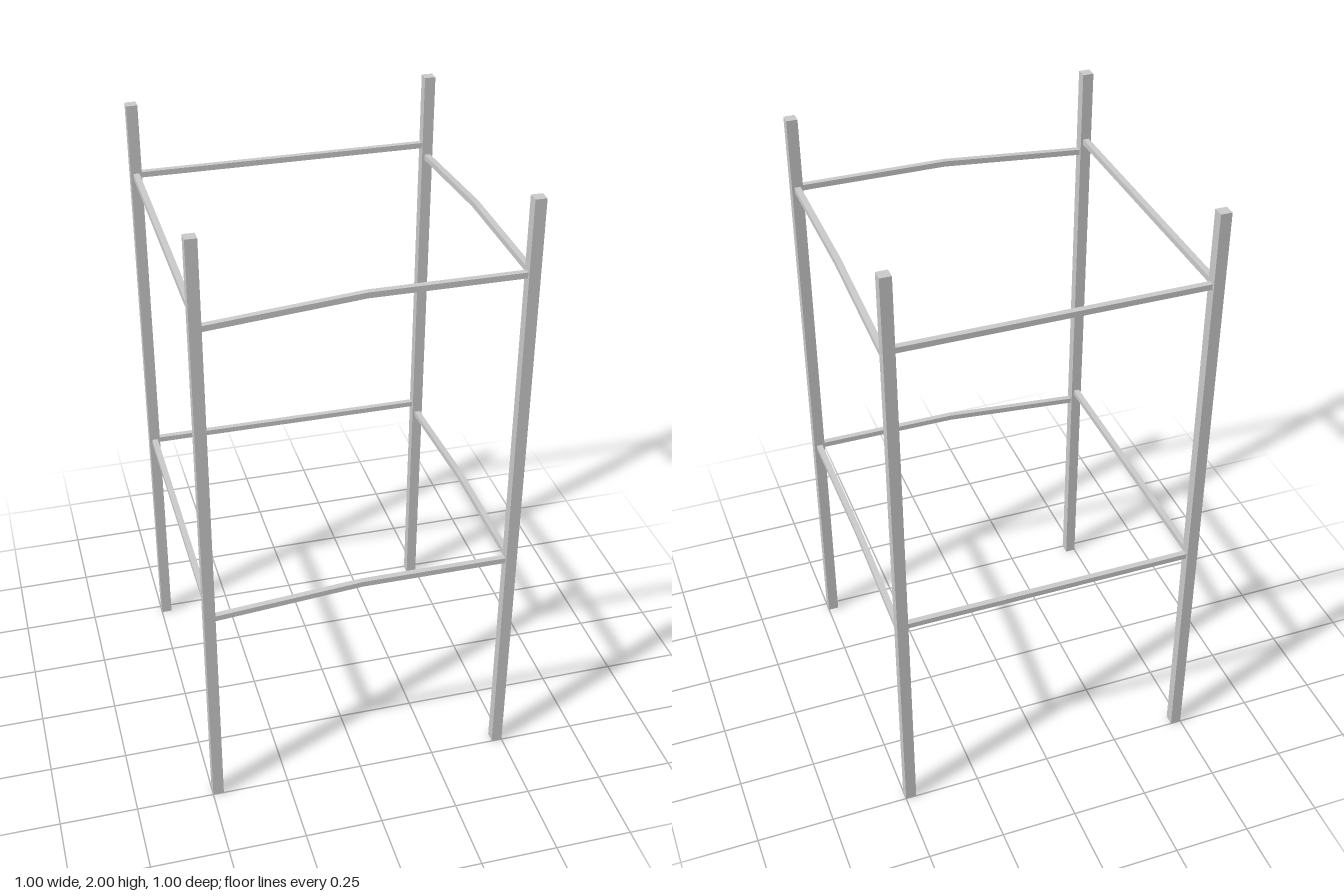
import * as THREE from 'three';

const POST = 0.035, RAIL_W = 0.019, RAIL_H = 0.018;
const C = 0.5 - POST / 2; // post centre offset
const L = C - POST / 2;   // half the clear span between posts

// Rail along x, centred on its origin; its -x half slopes down by `drop`
function railGeometry(drop) {
  const h = RAIL_H / 2;
  const shape = new THREE.Shape();
  shape.moveTo(-L, -h - drop);
  if (drop) shape.lineTo(0, -h);
  shape.lineTo(L, -h);
  shape.lineTo(L, h);
  if (drop) shape.lineTo(0, h);
  shape.lineTo(-L, h - drop);
  shape.closePath();
  return new THREE.ExtrudeGeometry(shape, { depth: RAIL_W, bevelEnabled: false })
    .translate(0, 0, -RAIL_W / 2);
}

export function createModel() {
  const model = new THREE.Group();
  const material = new THREE.MeshStandardMaterial({ color: 0xcccccc });

  const add = (name, geometry, x, y, z, turn = 0) => {
    const mesh = new THREE.Mesh(geometry, material);
    mesh.name = name;
    mesh.position.set(x, y, z);
    mesh.rotation.y = turn;
    model.add(mesh);
  };

  // Four square corner posts
  const post = new THREE.BoxGeometry(POST, 2, POST);
  for (const [side, x] of [['Left', C], ['Right', -C]]) {
    add(`front${side}Post`, post, x, 1, C);
    add(`back${side}Post`, post, x, 1, -C);
  }

  // Two levels of rails: straight at the back and -x side, bent at the front and +x side
  const straight = railGeometry(0);
  const bent = railGeometry(0.039);
  for (const [level, y] of [['lower', 0.766], ['upper', 1.767]]) {
    add(`${level}BackRail`, straight, 0, y, -C);
    add(`${level}RightRail`, straight, -C, y, 0, Math.PI / 2);
    add(`${level}FrontBentRail`, bent, 0, y, C);
    add(`${level}LeftBentRail`, bent, C, y, 0, -Math.PI / 2); // low end at the back
  }
  return model;
}
